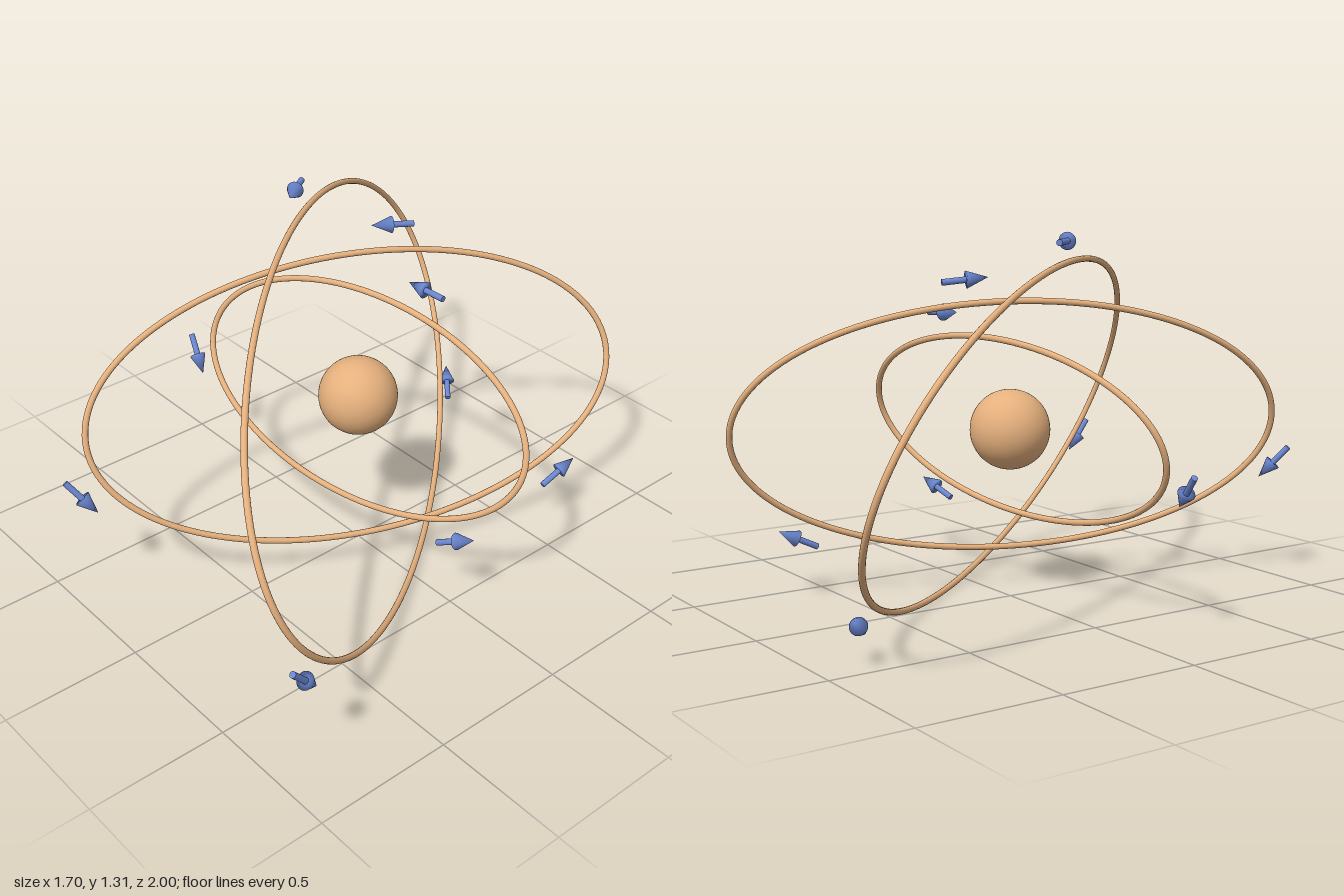
import * as THREE from 'three';
import { mergeVertices } from 'three/addons/utils/BufferGeometryUtils.js';

const vec = (p) => new THREE.Vector3(...p);

// Closed ellipse about the origin, given by two conjugate radii
class EllipseLoop extends THREE.Curve {
  constructor(u, v) {
    super();
    this.u = vec(u);
    this.v = vec(v);
  }
  getPoint(t, target = new THREE.Vector3()) {
    const a = t * Math.PI * 2;
    return target.set(0, 0, 0)
      .addScaledVector(this.u, Math.cos(a))
      .addScaledVector(this.v, Math.sin(a));
  }
}

// Cone whose tip and rim share soft normals
function softCone(radius, height) {
  const cone = new THREE.ConeGeometry(radius, height, 28);
  cone.deleteAttribute('normal');
  cone.deleteAttribute('uv');
  const soft = mergeVertices(cone);
  soft.computeVertexNormals();
  return soft;
}

// Straight arrow from tail to tip: thin shaft and cone head
function makeArrow(tail, tip, material) {
  const arrow = new THREE.Group();
  const dir = vec(tip).sub(vec(tail));
  const headLength = 0.075;
  const shaftLength = dir.length() - headLength;

  const shaft = new THREE.Mesh(new THREE.CylinderGeometry(0.011, 0.011, shaftLength, 20), material);
  shaft.name = 'arrowShaft';
  shaft.position.y = shaftLength / 2;

  const head = new THREE.Mesh(softCone(0.03, headLength), material);
  head.name = 'arrowHead';
  head.position.y = shaftLength + headLength / 2;

  arrow.add(shaft, head);
  arrow.position.copy(vec(tail));
  arrow.quaternion.setFromUnitVectors(new THREE.Vector3(0, 1, 0), dir.normalize());
  return arrow;
}

export function createModel() {
  const model = new THREE.Group();
  model.name = 'atom';

  const tan = new THREE.MeshStandardMaterial({ color: 0xe5b07d });
  tan.name = 'tan';
  const blue = new THREE.MeshStandardMaterial({ color: 0x6a86d0 });
  blue.name = 'blue';

  const centre = vec([-0.02, 0.61, -0.016]);

  // Central ball
  const nucleus = new THREE.Mesh(new THREE.SphereGeometry(0.142, 48, 32), tan);
  nucleus.name = 'nucleus';
  nucleus.position.copy(centre);
  model.add(nucleus);

  // Three tilted elliptical orbits
  const orbits = [
    ['largeOrbit', [0.718, 0.094, 0.973], [-0.309, 0.592, 0]],
    ['smallOrbit', [0.723, -0.011, -0.098], [0, 0.336, -0.138]],
    ['mediumOrbit', [-0.349, -0.04, 0.908], [-0.204, 0.464, 0]],
  ];
  for (const [name, u, v] of orbits) {
    const ring = new THREE.Mesh(
      new THREE.TubeGeometry(new EllipseLoop(u, v), 200, 0.011, 14, true), tan);
    ring.name = name;
    ring.position.copy(centre);
    model.add(ring);
  }

  // Arrows beside the orbits, three for each, as tail and tip
  const arrows = [
    [[-0.425, 1.278, -0.1], [-0.328, 1.283, 0.03]],
    [[-0.115, 1.143, -0.355], [-0.175, 1.159, -0.21]],
    [[0.195, 1.018, -0.214], [0.04, 1.026, -0.198]],
    [[-0.843, 0.548, 0.126], [-0.737, 0.433, 0.156]],
    [[-0.374, 0.499, 0.99], [-0.296, 0.384, 0.918]],
    [[-0.379, 0.092, -0.815], [-0.487, 0.163, -0.903]],
    [[0.478, 0.275, 0.05], [0.612, 0.34, 0.008]],
    [[0.391, 0.181, -0.569], [0.409, 0.25, -0.712]],
    [[0.829, 0.453, 0.963], [0.812, 0.335, 0.86]],
  ];
  arrows.forEach(([tail, tip], i) => {
    const arrow = makeArrow(tail, tip, blue);
    arrow.name = `directionArrow${i + 1}`;
    model.add(arrow);
  });

  return model;
}
